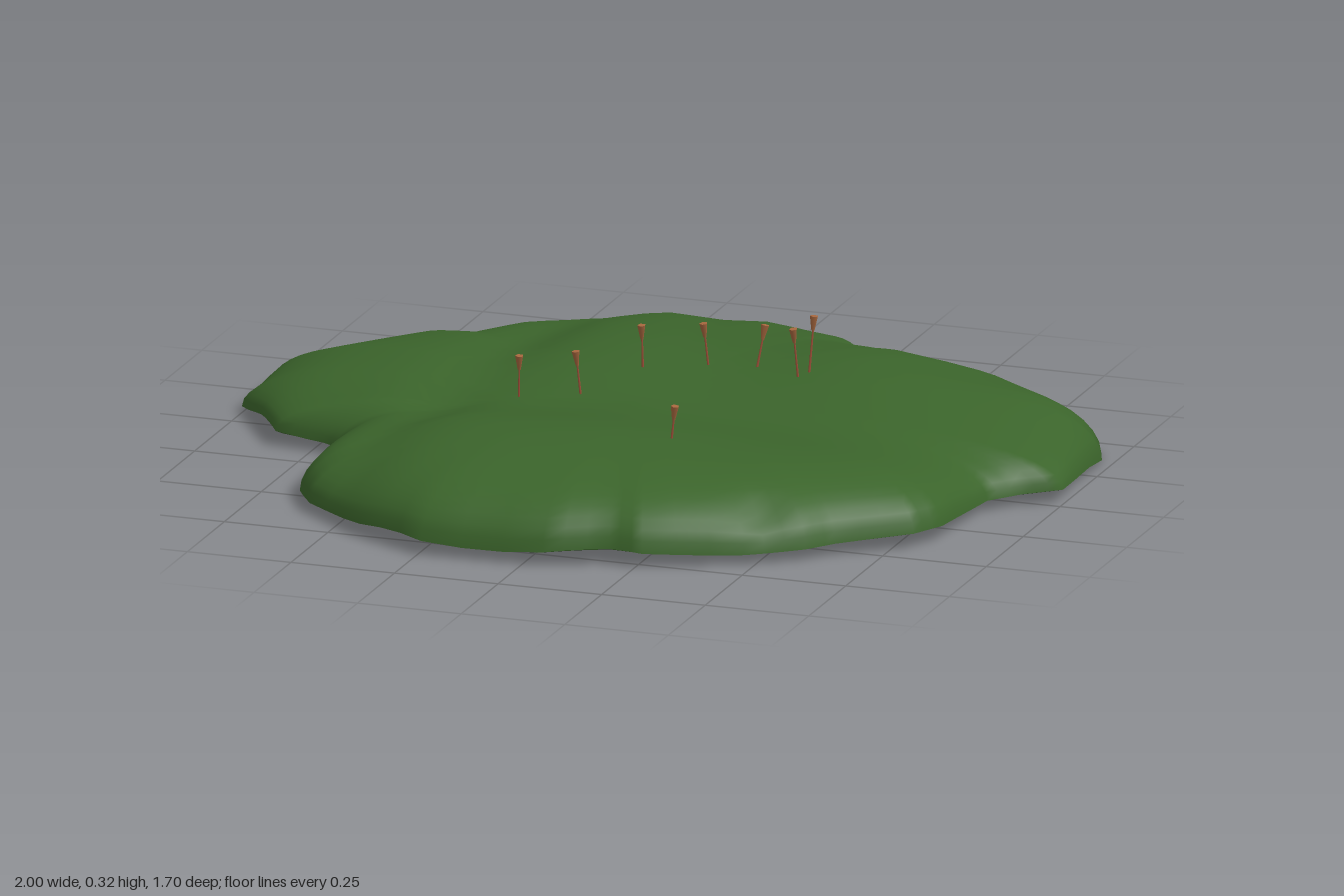
import * as THREE from 'three';
import { mergeVertices } from 'three/addons/utils/BufferGeometryUtils.js';

// Plan outline of the patch as x, z pairs
const OUTLINE = [
  -0.99, -0.27, -0.9, -0.36, -0.78, -0.48, -0.66, -0.51, -0.56, -0.66, -0.43, -0.78,
  -0.23, -0.85, -0.07, -0.82, 0.04, -0.84, 0.25, -0.78, 0.3, -0.71, 0.48, -0.64,
  0.56, -0.64, 0.73, -0.58, 0.83, -0.5, 0.95, -0.42, 0.98, -0.34, 1, -0.02,
  0.92, 0.03, 0.86, 0.1, 0.84, 0.35, 0.8, 0.43, 0.65, 0.54, 0.6, 0.6, 0.48, 0.68,
  0.27, 0.78, 0.19, 0.78, 0.05, 0.84, -0.24, 0.85, -0.42, 0.76, -0.59, 0.62,
  -0.65, 0.52, -0.66, 0.2, -0.72, 0.17, -0.84, 0.15, -0.92, 0.03, -1, -0.07,
];
const STEPS = 3; // subdivisions per outline edge
const RINGS = 18;

const bump = (d, w) => Math.exp(-(d * d) / (w * w));
const spot = (x, z, cx, cz, w) => bump(Math.hypot(x - cx, z - cz), w);

// Mounds parted by a wide valley and a shallow gully, with dents near the rim
function moundHeight(x, z) {
  let h = 0.183 - 0.034 * bump(z - 0.09 + 0.05 * x, 0.21);
  h += 0.021 * spot(x, z, -0.1, 0.48, 0.35);
  h += 0.027 * spot(x, z, 0.44, -0.32, 0.28);
  h += 0.014 * spot(x, z, -0.18, -0.32, 0.22);
  h -= 0.024 * bump(x + 0.44 + 0.1 * z, 0.09);
  h -= 0.04 * spot(x, z, 0.5, 0.63, 0.05);
  h -= 0.05 * spot(x, z, 0.49, -0.6, 0.06);
  return h + 0.003 * Math.sin(9 * x + 4 * z) * Math.sin(8 * z - 3 * x);
}

// Low spots where the rim touches the ground
const sag = (x, z) => 0.032 * spot(x, z, 0.95, -0.42, 0.1)
  + 0.022 * spot(x, z, -0.62, 0.52, 0.12) + 0.018 * spot(x, z, -0.94, -0.1, 0.1);

const rimHeight = (x, z) => 0.034 + 0.007 * Math.sin(13 * x + 7 * z) - sag(x, z);

// The dome falls more steeply at the front and left sides
function topHeight(x, z, t) {
  const rim = rimHeight(x, z);
  const steepness = 4 + x + 2.5 * Math.max(0, z);
  return rim + (moundHeight(x, z) - rim) * Math.sqrt(Math.max(0, 1 - t ** steepness));
}

function bottomHeight(x, z, t) {
  const floor = 0.026 + 0.006 * Math.sin(11 * x + 2) * Math.cos(10 * z) - sag(x, z);
  return floor + (rimHeight(x, z) - floor) * t ** 24;
}

// Surface made of rings scaled out from the centre to the outline
function patchSurface(height, upward) {
  const n = OUTLINE.length / 2, segs = n * STEPS;
  const pos = [], idx = [];
  for (let i = 0; i <= RINGS; i++) {
    const t = 1 - (1 - i / RINGS) ** 1.8;
    for (let j = 0; j < segs; j++) {
      const a = Math.floor(j / STEPS), b = (a + 1) % n, f = (j % STEPS) / STEPS;
      const x = t * THREE.MathUtils.lerp(OUTLINE[2 * a], OUTLINE[2 * b], f);
      const z = t * THREE.MathUtils.lerp(OUTLINE[2 * a + 1], OUTLINE[2 * b + 1], f);
      pos.push(x, height(x, z, t), z);
      if (i === RINGS) continue;
      const k = (j + 1) % segs;
      const p = i * segs + j, q = i * segs + k, r = p + segs, s = q + segs;
      if (upward) idx.push(p, s, r); else idx.push(p, r, s);
      if (i > 0) {
        if (upward) idx.push(p, q, s); else idx.push(p, s, q);
      }
    }
  }
  const geo = new THREE.BufferGeometry();
  geo.setAttribute('position', new THREE.Float32BufferAttribute(pos, 3));
  geo.setIndex(idx);
  const merged = mergeVertices(geo, 1e-5);
  merged.computeVertexNormals();
  return merged;
}

export function createModel() {
  const moss = new THREE.MeshStandardMaterial({ name: 'mossGreen', color: 0x3b642b });
  const stemBrown = new THREE.MeshStandardMaterial({ name: 'stemBrown', color: 0xa0523a });
  const capBrown = new THREE.MeshStandardMaterial({ name: 'capBrown', color: 0xa8683f });
  const model = new THREE.Group();
  model.name = 'mossPatch';

  const add = (parent, name, geo, mat) => {
    const mesh = new THREE.Mesh(geo, mat);
    mesh.name = name;
    parent.add(mesh);
    return mesh;
  };
  add(model, 'mossTop', patchSurface(topHeight, true), moss);
  add(model, 'mossUnderside', patchSurface(bottomHeight, false), moss);

  // Spore stalks: tip x, y, z and lean in x, z
  const stalks = [
    [-0.28, 0.25, 0.07, 0.005, 0.01], [-0.16, 0.26, 0.025, -0.01, 0.01],
    [-0.06, 0.285, -0.14, 0.0, 0.01], [0.068, 0.285, -0.2, -0.01, 0.01],
    [0.205, 0.285, -0.235, 0.018, -0.015], [0.33, 0.325, -0.215, 0.01, -0.01],
    [0.297, 0.305, -0.165, -0.008, 0.015], [0.2, 0.262, 0.362, 0.012, 0.005],
  ];
  const up = new THREE.Vector3(0, 1, 0);
  for (const [x, y, z, leanX, leanZ] of stalks) {
    const base = new THREE.Vector3(x - leanX, moundHeight(x, z) - 0.02, z - leanZ);
    const axis = new THREE.Vector3(x, y, z).sub(base);
    const length = axis.length();
    const stalk = new THREE.Group();
    stalk.name = 'sporeStalk';
    stalk.position.copy(base);
    stalk.quaternion.setFromUnitVectors(up, axis.normalize());
    const stem = new THREE.CylinderGeometry(0.002, 0.003, length - 0.02, 4);
    add(stalk, 'stem', stem, stemBrown).position.y = (length - 0.02) / 2;
    const cap = new THREE.CylinderGeometry(0.01, 0.004, 0.034, 5);
    add(stalk, 'sporeCap', cap, capBrown).position.y = length - 0.017;
    model.add(stalk);
  }
  return model;
}
